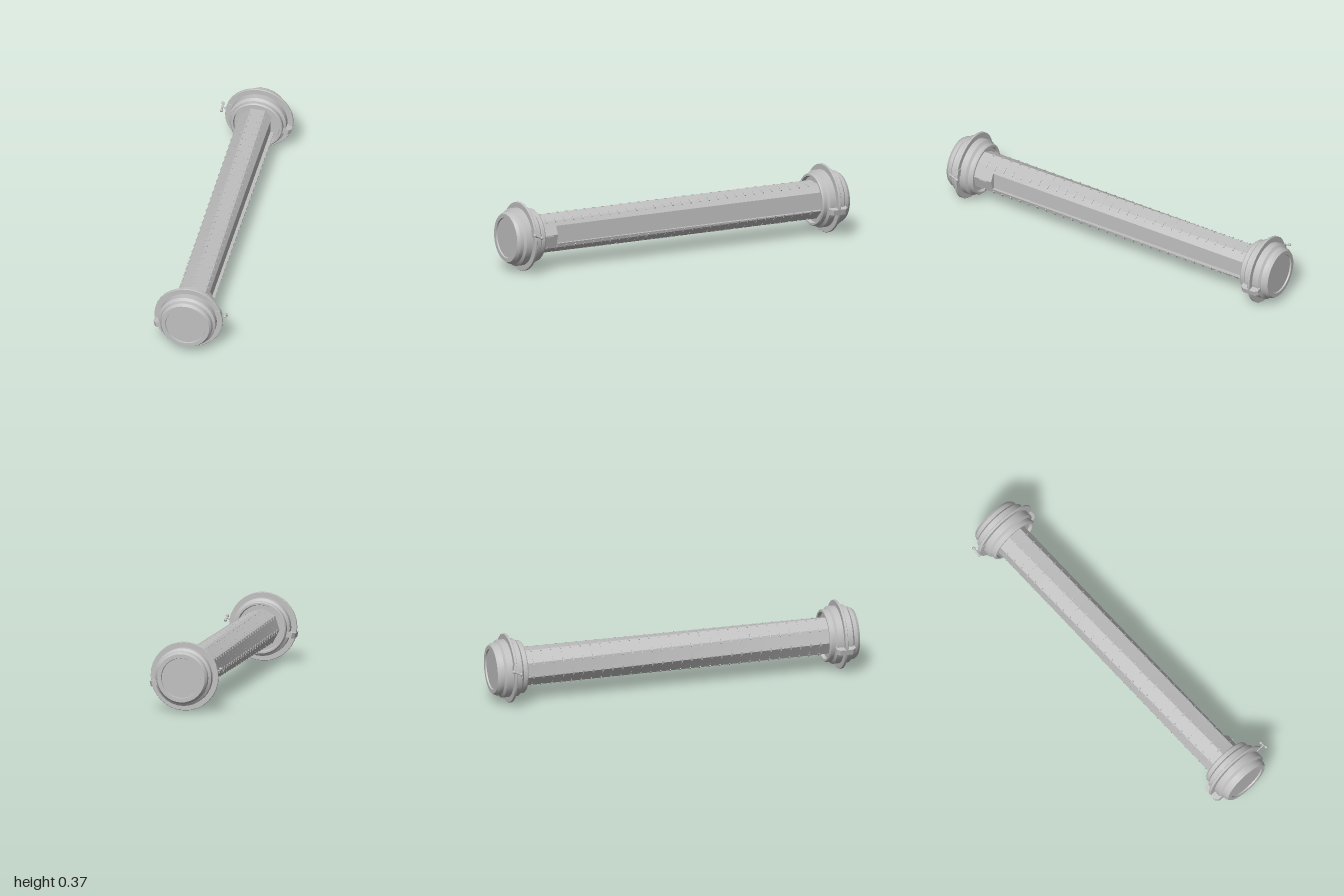
import * as THREE from 'three';
import { toCreasedNormals } from 'three/addons/utils/BufferGeometryUtils.js';

const AXIS_Y = 0.187, R = 0.103, SIDES = 8;
const steel = new THREE.MeshStandardMaterial({ color: 0xc0c0c0 });
steel.name = 'steelGrey';

function add(parent, name, geometry, x = 0, y = 0, z = 0) {
  const mesh = new THREE.Mesh(geometry, steel);
  mesh.name = name;
  mesh.position.set(x, y, z);
  parent.add(mesh);
  return mesh;
}

// The octagon twists gently along the barrel; angles run clockwise from the top.
const edgeAngle = (k, z) => THREE.MathUtils.degToRad(-12 + z * 8 + k * 45);
const corner = (k, z, r = R) => [r * Math.sin(edgeAngle(k, z)), r * Math.cos(edgeAngle(k, z))];

function fullSection(z) {
  return Array.from({ length: SIDES }, (_, k) => corner(k, z));
}

// Same octagon with a flat-bottomed channel cut in the +x side.
function slottedSection(z) {
  const p = fullSection(z), top = 0.053, low = -0.042, floor = 0.072;
  const xAt = (a, b, y) => a[0] + (b[0] - a[0]) * (y - a[1]) / (b[1] - a[1]);
  p.splice(2, 1, [xAt(p[1], p[2], top), top], [floor, top], [floor, low], [xAt(p[2], p[3], low), low]);
  return p;
}

function loft(section, z0, z1, steps) {
  const v = [];
  const at = (i) => z0 + (z1 - z0) * i / steps;
  for (let s = 0; s < steps; s++) {
    const a = section(at(s)), b = section(at(s + 1)), n = a.length;
    for (let i = 0; i < n; i++) {
      const j = (i + 1) % n;
      const A = [...a[i], at(s)], B = [...a[j], at(s)], C = [...b[j], at(s + 1)], D = [...b[i], at(s + 1)];
      v.push(...A, ...B, ...D, ...B, ...C, ...D);
    }
  }
  if (section === fullSection) {
    const e = section(z1);
    for (let i = 1; i < e.length - 1; i++) v.push(...e[0], z1, ...e[i], z1, ...e[i + 1], z1);
  }
  const g = new THREE.BufferGeometry();
  g.setAttribute('position', new THREE.Float32BufferAttribute(v, 3));
  return toCreasedNormals(g, 0.3);
}

function lathe(points) {
  const g = new THREE.LatheGeometry(points.map(([r, z]) => new THREE.Vector2(r, z)), 32);
  g.rotateX(Math.PI / 2);
  return toCreasedNormals(g, 0.4);
}

function rod(parent, name, a, b, r) {
  const from = new THREE.Vector3(...a), to = new THREE.Vector3(...b);
  const mesh = add(parent, name, new THREE.CylinderGeometry(r, r, from.distanceTo(to), 10));
  mesh.position.copy(from).add(to).multiplyScalar(0.5);
  mesh.quaternion.setFromUnitVectors(new THREE.Vector3(0, 1, 0), to.sub(from).normalize());
}

// Stepped end cap with clamp ring, hinge lug and wing screw.
function endCap(name) {
  const cap = new THREE.Group();
  cap.name = name;
  add(cap, 'cap', lathe([
    [0.05, 0.85], [0.122, 0.85], [0.126, 0.832], [0.136, 0.832], [0.141, 0.838], [0.141, 0.86],
    [0.154, 0.87], [0.154, 0.955], [0.141, 0.965], [0.139, 0.985], [0.129, 1], [0.108, 1], [0.106, 0.992], [0, 0.992],
  ]));
  add(cap, 'clampRing', lathe([[0.14, 0.905], [0.182, 0.905], [0.184, 0.907], [0.184, 0.917], [0.182, 0.919], [0.14, 0.919]]));

  // Hinge lug, a tapered block pointing outwards
  const outline = new THREE.Shape([[0.138, -0.052], [0.17, -0.052], [0.184, -0.035], [0.184, 0.035], [0.17, 0.052], [0.138, 0.052]]
    .map(([x, y]) => new THREE.Vector2(x, y)));
  const lugShape = new THREE.ExtrudeGeometry(outline, { depth: 0.03, bevelEnabled: false });
  lugShape.translate(0, 0, -0.015).rotateX(Math.PI / 2);
  const lug = add(cap, 'hingeLug', lugShape, 0, 0, 0.912);
  lug.rotation.z = Math.PI + 0.23;

  // Clamp tab and wing screw
  const tab = add(cap, 'clampTab', new THREE.BoxGeometry(0.03, 0.04, 0.024), 0.162, 0.046, 0.912);
  tab.rotation.z = 0.27;
  rod(cap, 'screw', [0.15, 0.024, 0.912], [0.2, 0.037, 0.912], 0.004);
  const ends = [[0.2, 0.047, 0.932], [0.2, 0.029, 0.892]];
  rod(cap, 'wingBar', ...ends, 0.005);
  for (const e of ends) add(cap, 'wingTip', new THREE.SphereGeometry(0.009, 12, 8), ...e);
  return cap;
}

export function createModel() {
  const model = new THREE.Group();
  model.name = 'cappedBarrel';
  const body = new THREE.Group();
  body.name = 'body';
  body.position.y = AXIS_Y;
  model.add(body);

  add(body, 'barrel', loft(slottedSection, 0.74, -0.86, 24));
  add(body, 'barrelCollar', loft(fullSection, 0.86, 0.74, 2));
  add(body, 'keeperPlate', new THREE.BoxGeometry(0.006, 0.008, 0.045), 0.102, 0.006, 0.79);

  // Small ridges along every edge, with rivets on the facets beside them
  const ridge = new THREE.BoxGeometry(0.022, 0.005, 0.006);
  const rivet = new THREE.CylinderGeometry(0.0025, 0.0025, 0.003, 6);
  for (let k = 0; k < SIDES; k++) {
    if (k === 2) continue;
    for (let i = 0; i < 30; i++) {
      const z = -0.79 + i * 0.0545, a = edgeAngle(k, z);
      add(body, 'edgeRidge', ridge, ...corner(k, z, R - 0.001), z).rotation.z = -a;
      if (k === 1) continue;
      const mid = a + Math.PI / 8, d = R * Math.cos(Math.PI / 8);
      const side = i % 2 ? 0.014 : -0.014;
      add(body, 'rivet', rivet, d * Math.sin(mid) + side * Math.cos(mid),
        d * Math.cos(mid) - side * Math.sin(mid), z).rotation.z = -mid;
    }
  }

  // Matching caps, the back one turned half a circle
  const front = endCap('frontCap'), back = endCap('backCap');
  back.rotation.y = Math.PI;
  body.add(front, back);
  return model;
}
